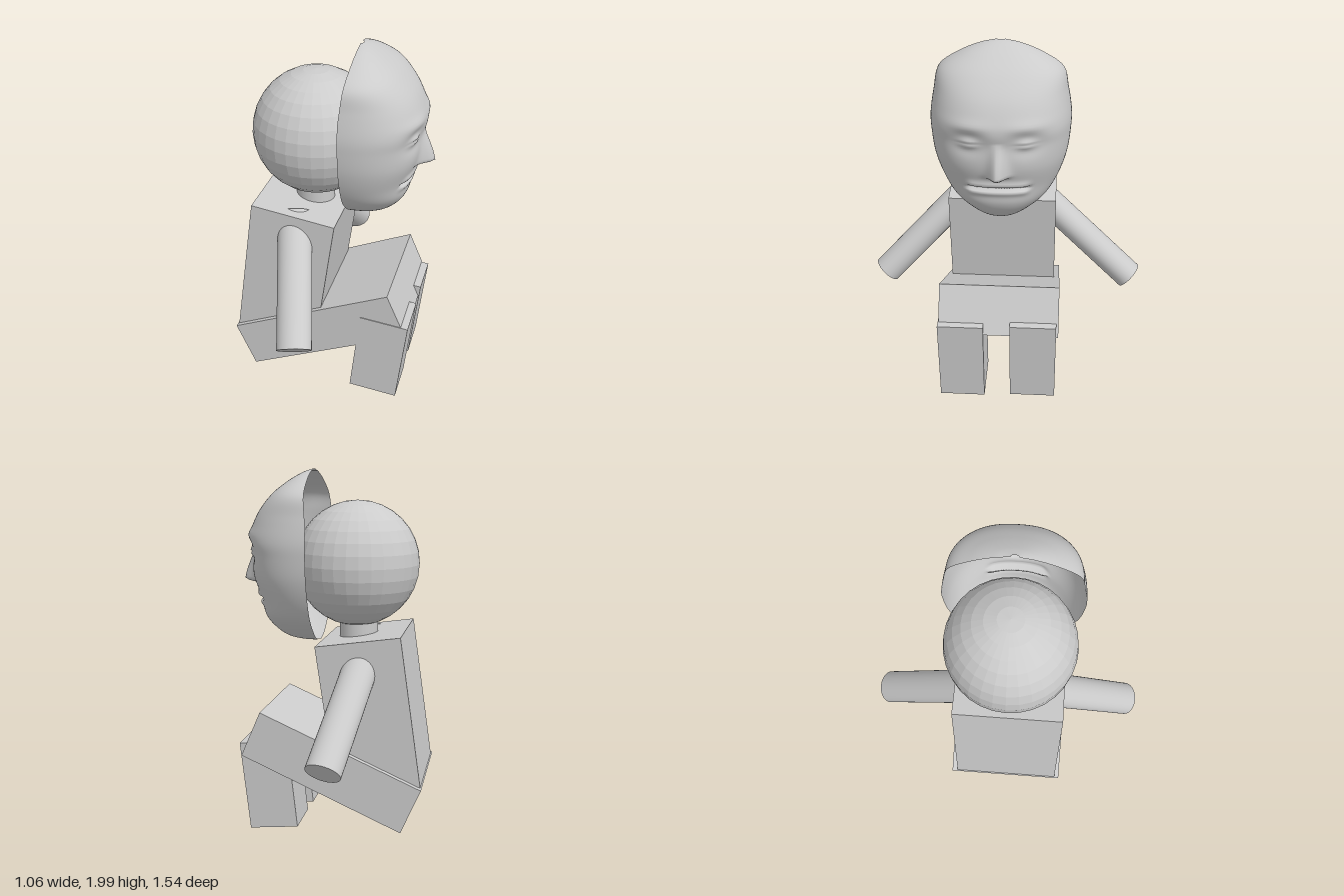
import * as THREE from 'three';

const MID = 0.022; // side-to-side centre of the figure, which looks along +x
const grey = new THREE.MeshStandardMaterial({ color: 0xcccccc });
const faceted = new THREE.MeshStandardMaterial({ color: 0xcccccc, flatShading: true });
const shell = new THREE.MeshStandardMaterial({ color: 0xcccccc, side: THREE.DoubleSide });

function add(group, name, geometry, material) {
  const mesh = new THREE.Mesh(geometry, material);
  mesh.name = name;
  group.add(mesh);
  return mesh;
}

// Block tilted in the xy plane, spanning z0..z1
function block(group, name, [x, y], [w, h], degrees, z0, z1) {
  const mesh = add(group, name, new THREE.BoxGeometry(w, h, z1 - z0), faceted);
  mesh.position.set(x, y, (z0 + z1) / 2);
  mesh.rotation.z = THREE.MathUtils.degToRad(degrees);
}

// Slightly oval rod from shoulder to hand
function arm(group, name, shoulder, hand) {
  const a = new THREE.Vector3(...shoulder), b = new THREE.Vector3(...hand);
  const mesh = add(group, name, new THREE.CylinderGeometry(1, 1, 1, 32), grey);
  mesh.position.copy(a).lerp(b, 0.5);
  mesh.quaternion.setFromUnitVectors(new THREE.Vector3(0, 1, 0), a.clone().sub(b).normalize());
  mesh.scale.set(0.095, a.distanceTo(b), 0.081);
}

// Height of a smooth bump at distance (dy, dz) from its middle
const bump = (dy, dz, sy, sz) => Math.exp(-((dy / sy) ** 2) - (dz / sz) ** 2);

// Nose, eyes and mouth as a forward offset at height y and side offset z
function features(y, z) {
  let d = 0;
  // nose: grows and widens downward, then is cut off underneath
  const t = THREE.MathUtils.clamp((1.57 - y) / 0.18, 0, 1);
  const under = THREE.MathUtils.smoothstep(y, 1.37, 1.39);
  d += 0.088 * t * under * bump(0, z, 1, 0.022 + 0.022 * t);
  for (const s of [-1, 1]) {
    const e = z - s * 0.143;
    d -= 0.03 * bump(y - 1.565, e, 0.06, 0.085); // socket
    d += 0.032 * bump(y - 1.56, e, 0.028, 0.05); // eyeball
    d -= 0.012 * bump(y - 1.56, e, 0.006, 0.045); // slit between lids
    d += 0.012 * bump(y - 1.65, e, 0.03, 0.1); // brow
  }
  // lips with a crease between them
  const m = 1 - THREE.MathUtils.smoothstep(Math.abs(z), 0.13, 0.18);
  d += m * (0.014 * bump(y - 1.325, 0, 0.018, 1) + 0.012 * bump(y - 1.28, 0, 0.018, 1));
  d -= m * 0.03 * bump(y - 1.302, 0, 0.009, 1);
  return d;
}

// Hollow face mask: stacked half-oval sections following a profile
function maskGeometry() {
  // forward reach, height, half width
  const profile = new THREE.CatmullRomCurve3([
    [0.135, 2.0, 0.02], [0.18, 1.983, 0.1], [0.26, 1.935, 0.215], [0.35, 1.86, 0.318],
    [0.43, 1.755, 0.345], [0.477, 1.62, 0.366], [0.465, 1.54, 0.364], [0.45, 1.42, 0.349],
    [0.41, 1.3, 0.31], [0.395, 1.21, 0.26], [0.35, 1.14, 0.19], [0.27, 1.08, 0.105], [0.14, 1.055, 0.02],
  ].map(p => new THREE.Vector3(...p)), false, 'centripetal');
  const geometry = new THREE.PlaneGeometry(1, 1, 72, 130);
  const pos = geometry.attributes.position;
  const n = 2.35;
  for (let i = 0; i < pos.count; i++) {
    const p = profile.getPoint(0.5 - pos.getY(i));
    const a = pos.getX(i) * Math.PI;
    const c = Math.max(0, Math.cos(a)), s = Math.sin(a);
    const r = (c ** n + Math.abs(s) ** n) ** (-1 / n);
    const rim = 0.093 + 0.1 * Math.max(0, p.y - 1.7) ** 1.0;
    const z = -p.z * s * r;
    const x = rim + (p.x - rim) * c * r;
    pos.setXYZ(i, x + features(p.y, z) * Math.min(1, c * 1.5), p.y, MID + z);
  }
  geometry.computeVertexNormals();
  return geometry;
}

export function createModel() {
  const model = new THREE.Group();
  model.name = 'sittingFigure';

  // Body
  block(model, 'torso', [-0.23, 0.695], [0.465, 0.83], -8.3, -0.275, 0.323);
  block(model, 'thighs', [-0.0285, 0.3825], [0.968, 0.273], 23.3, -0.307, 0.348);
  block(model, 'leftShin', [0.322, 0.27], [0.272, 0.498], -6.3, 0.102, 0.352);
  block(model, 'rightShin', [0.32, 0.281], [0.272, 0.498], -6.3, -0.295, -0.043);

  // Arms
  arm(model, 'leftArm', [-0.195, 1.06, 0.2], [-0.05, 0.535, 0.715]);
  arm(model, 'rightArm', [-0.19, 1.0, -0.18], [-0.08, 0.53, -0.715]);

  // Head
  const neck = add(model, 'neck', new THREE.CylinderGeometry(0.107, 0.107, 0.2, 32), grey);
  neck.position.set(-0.128, 1.1, MID);
  const head = add(model, 'head', new THREE.SphereGeometry(0.344, 32, 16), faceted);
  head.position.set(-0.117, 1.492, MID);
  add(model, 'faceMask', maskGeometry(), shell);

  return model;
}
